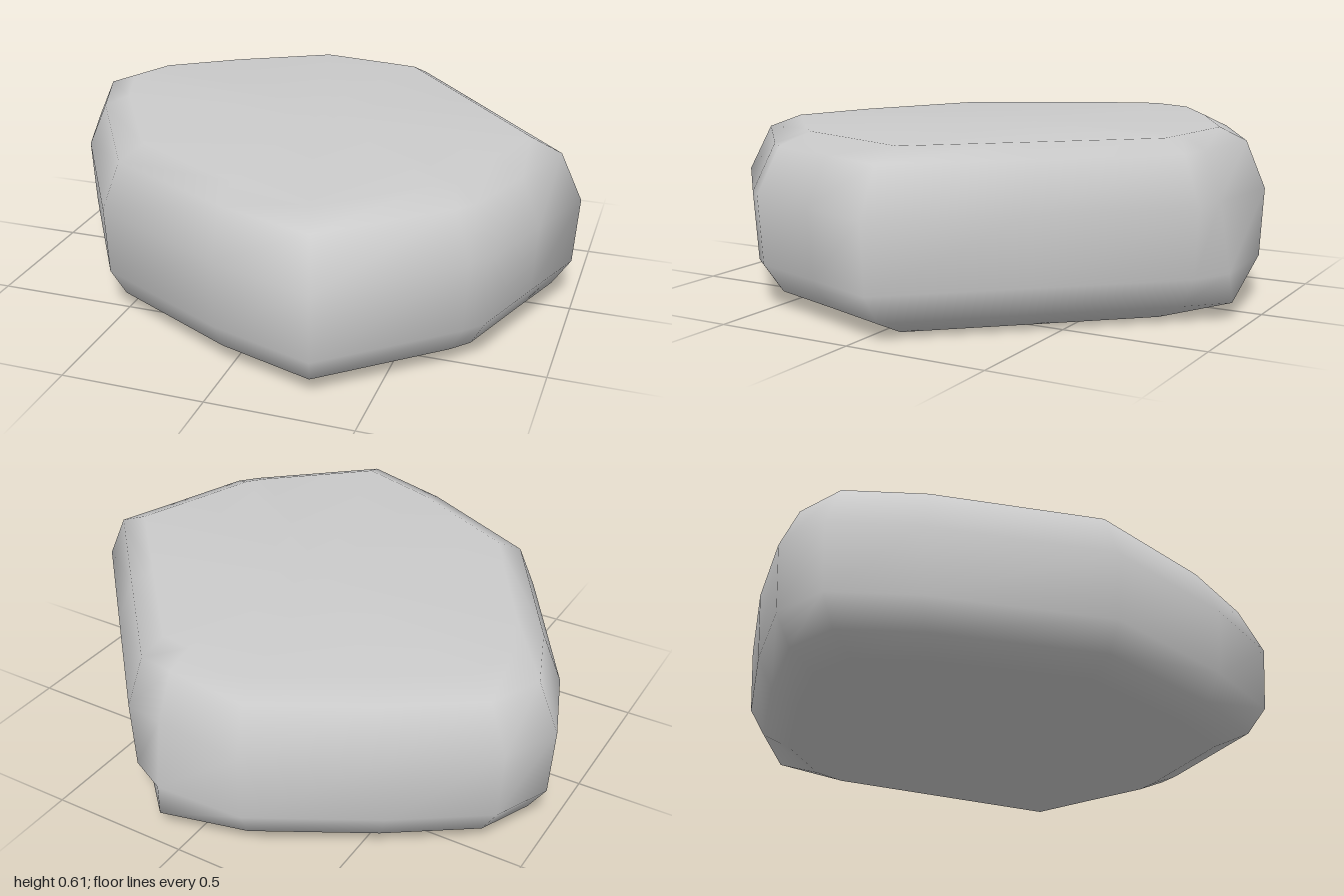
import * as THREE from 'three';

// Widest outline of the stone as [x, z], clockwise seen from above
const OUTLINE = [
  [-0.2, -0.93], [0.13, -0.89], [0.27, -0.87], [0.64, -0.46], [1, -0.06],
  [0.9, 0.22], [0.8, 0.51], [0.74, 0.58], [0.33, 0.94], [-0.04, 0.82],
  [-0.55, 0.56], [-0.89, 0], [-1, -0.29], [-0.91, -0.49], [-0.61, -0.7],
];
const BACK_CORNER = 1;

// Levels from bottom to top: height, scale of the outline, bulge of the low back corner
const LEVELS = [
  [0.005, 0.8, -0.04],
  [0.06, 0.92, -0.11],
  [0.16, 0.985, -0.05],
  [0.4, 1, 0],
  [0.565, 0.92, 0],
  [0.61, 0.81, 0],
];
const CENTRE_Z = -0.1;

function stoneGeometry() {
  const n = OUTLINE.length;
  const positions = [];
  const index = [];

  // Rings of the rounded rim
  for (const [y, scale, bulge] of LEVELS) {
    OUTLINE.forEach(([x, z], i) => {
      const push = i === BACK_CORNER ? bulge : 0;
      positions.push(x * scale, y, CENTRE_Z + (z - CENTRE_Z) * scale + push);
    });
  }

  // Centres of the flat underside and top
  const bottom = LEVELS.length * n;
  const top = bottom + 1;
  positions.push(0, 0, CENTRE_Z, 0, 0.61, CENTRE_Z);

  const last = (LEVELS.length - 1) * n;
  for (let i = 0; i < n; i++) {
    const j = (i + 1) % n;
    for (let row = 0; row < last; row += n) {
      const a = row + i, b = row + j, c = a + n, d = b + n;
      index.push(a, c, b, b, c, d);
    }
    index.push(bottom, i, j);
    index.push(top, last + j, last + i);
  }

  const geometry = new THREE.BufferGeometry();
  geometry.setAttribute('position', new THREE.Float32BufferAttribute(positions, 3));
  geometry.setIndex(index);
  geometry.computeVertexNormals();
  return geometry;
}

export function createModel() {
  const group = new THREE.Group();
  group.name = 'flatStone';
  const stone = new THREE.Mesh(
    stoneGeometry(),
    new THREE.MeshStandardMaterial({ color: 0xcccccc }),
  );
  stone.name = 'stone';
  group.add(stone);
  return group;
}
